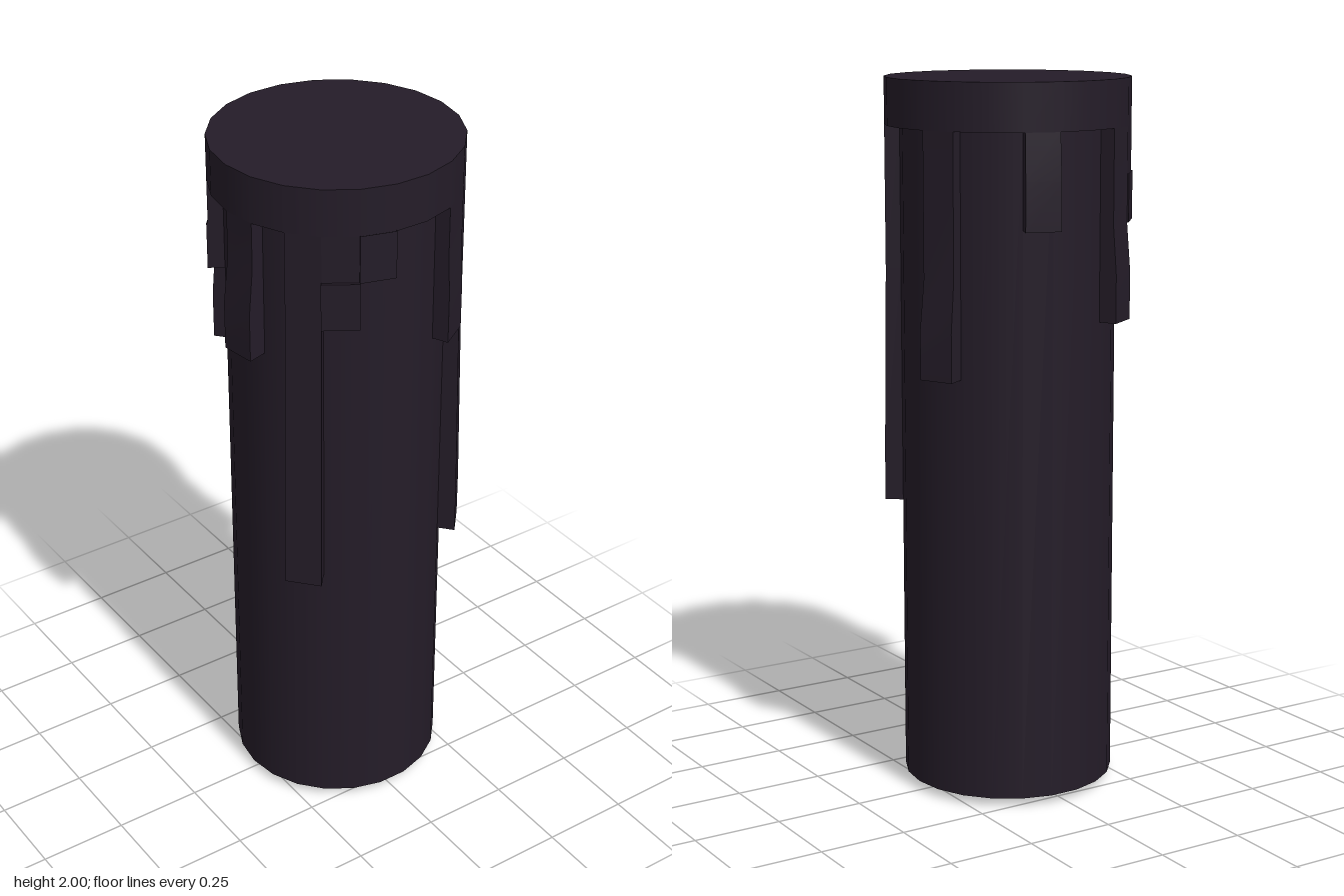
import * as THREE from 'three';
import { toCreasedNormals } from 'three/addons/utils/BufferGeometryUtils.js';

const SIDES = 22, STEP = (Math.PI * 2) / SIDES;
const BODY_R = 0.297, CAP_R = 0.339, CAP_Y = 1.87, ROW = 0.133;

// A run of wax one facet wide, hanging from the cap; its tip swells outwards
function dripGeometry(facet, bottom, swellTop, flare) {
  const rows = [
    [CAP_Y, CAP_R], [swellTop, CAP_R],
    [bottom + ROW, CAP_R + flare], [bottom, CAP_R + flare],
  ];
  const a0 = facet * STEP, a1 = a0 + STEP;
  const positions = [], index = [];
  for (const [y, r] of rows) {
    for (const [radius, a] of [[BODY_R, a0], [r, a0], [r, a1], [BODY_R, a1]]) {
      positions.push(radius * Math.cos(a), y, radius * Math.sin(a));
    }
  }
  const quad = (a, b, c, d) => index.push(a, b, c, a, c, d);
  for (let i = 0; i < rows.length - 1; i++) {
    for (let j = 0; j < 3; j++) {
      const t = i * 4 + j;
      quad(t, t + 1, t + 5, t + 4);
    }
  }
  quad(12, 13, 14, 15);
  const geometry = new THREE.BufferGeometry();
  geometry.setAttribute('position', new THREE.Float32BufferAttribute(positions, 3));
  geometry.setIndex(index);
  return toCreasedNormals(geometry, 0.5);
}

export function createModel() {
  const model = new THREE.Group();
  model.name = 'candle';
  const wax = new THREE.MeshStandardMaterial({ color: 0x241c28 });
  const add = (name, geometry, y = 0) => {
    const mesh = new THREE.Mesh(geometry, wax);
    mesh.name = name;
    mesh.position.set(0.006, y, 0.003);
    model.add(mesh);
    return mesh;
  };

  // Shaft and its shallow pointed underside
  const base = 0.025, height = CAP_Y - base;
  const shaft = new THREE.CylinderGeometry(BODY_R, BODY_R, height, SIDES, 1, true);
  add('shaft', shaft.rotateY(Math.PI / 2), base + height / 2);
  const under = new THREE.ConeGeometry(BODY_R, base, SIDES, 1, true);
  add('underside', under.rotateX(Math.PI).rotateY(Math.PI / 2), base / 2);

  // Wider melted cap
  const cap = new THREE.CylinderGeometry(CAP_R, CAP_R, 2 - CAP_Y, SIDES);
  add('cap', cap.rotateY(Math.PI / 2), (2 + CAP_Y) / 2);

  // Drips: facet counted from +x towards +z, bottom, start of swelling, flare
  const drips = [
    [2, 0.81, 1.47, 0.008], [3, 1.475, 1.74, 0.005],
    [6, 1.74, 1.87, 0.006], [7, 1.61, 1.74, 0.015], [8, 0.81, 1.61, 0.02],
    [10, 1.475, 1.74, 0.015],
    [13, 1.61, 1.74, 0.004], [14, 1.345, 1.61, 0.01],
    [17, 1.61, 1.87, 0.008],
    [20, 1.205, 1.475, 0.016],
  ];
  drips.forEach((d, i) => add(`drip${i + 1}`, dripGeometry(...d)));
  return model;
}
